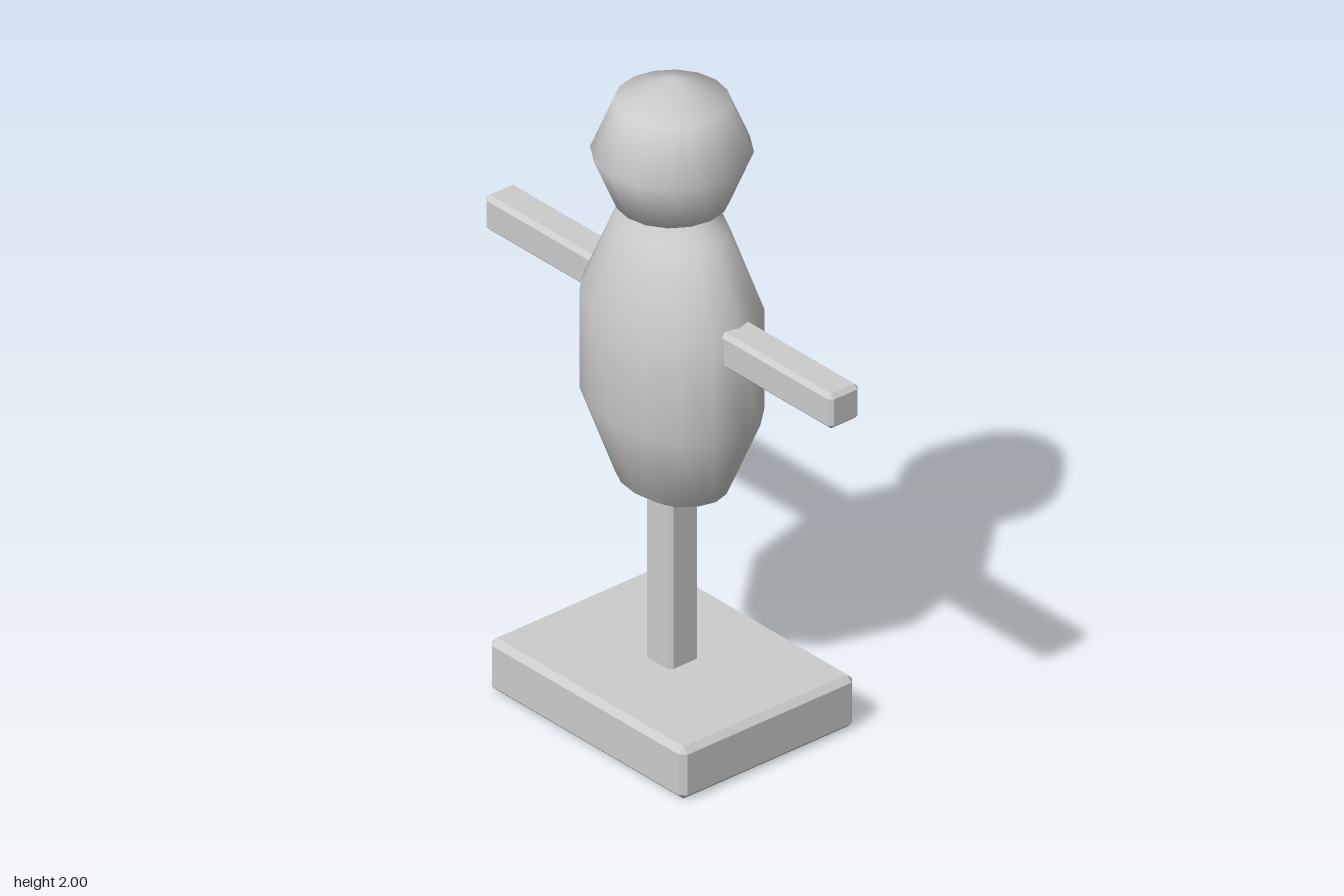
import * as THREE from 'three';
import { ConvexGeometry } from 'three/addons/geometries/ConvexGeometry.js';

const grey = new THREE.MeshStandardMaterial({ color: 0xcccccc });
grey.name = 'plainGrey';

// Box with flat 45-degree chamfers on all edges
function chamferedBox(w, h, d, c) {
  const points = [];
  for (const sx of [-1, 1]) for (const sy of [-1, 1]) for (const sz of [-1, 1]) {
    for (let axis = 0; axis < 3; axis++) {
      const half = [w / 2 - c, h / 2 - c, d / 2 - c];
      half[axis] += c;
      points.push(new THREE.Vector3(sx * half[0], sy * half[1], sz * half[2]));
    }
  }
  return new ConvexGeometry(points);
}

export function createModel() {
  const model = new THREE.Group();
  model.name = 'trainingDummy';

  function add(name, geometry, x, y, z) {
    const mesh = new THREE.Mesh(geometry, grey);
    mesh.name = name;
    mesh.position.set(x, y, z);
    model.add(mesh);
  }

  // Stand
  add('base', chamferedBox(0.815, 0.165, 0.63, 0.018), 0, 0.0825, 0);
  add('post', chamferedBox(0.11, 0.72, 0.11, 0.013), 0, 0.45, 0);

  // Smooth, coarse-faceted torso and head
  const torso = new THREE.SphereGeometry(1, 16, 5);
  torso.scale(0.31, 0.504, 0.23);
  add('torso', torso, 0, 1.142, 0);
  add('head', new THREE.SphereGeometry(0.225, 16, 4), 0, 1.775, 0);

  // Outstretched arms, mirrored
  for (const [name, side] of [['leftArm', 1], ['rightArm', -1]]) {
    add(name, chamferedBox(0.575, 0.11, 0.11, 0.013), side * 0.4375, 1.275, 0);
  }

  return model;
}
